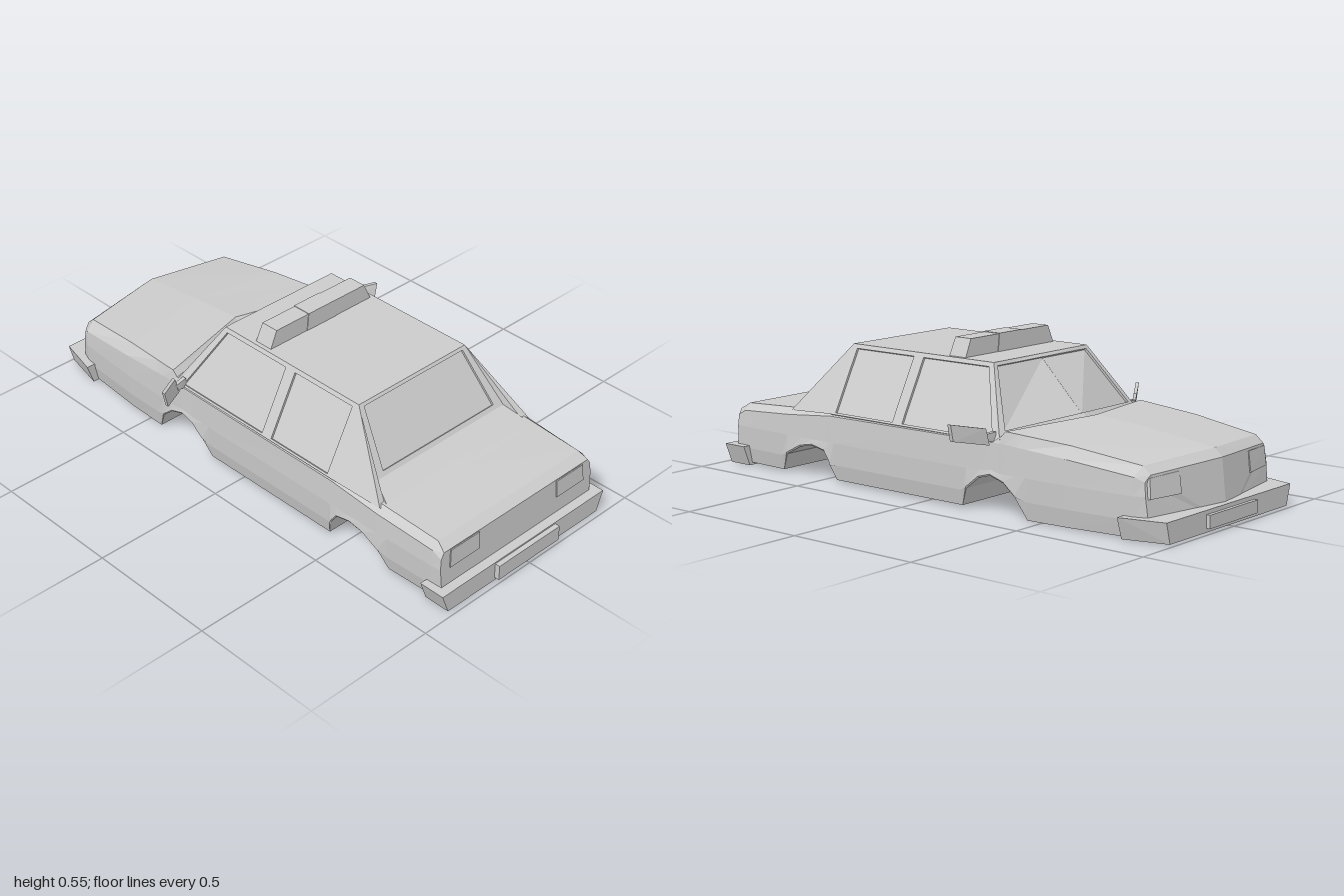
import * as THREE from 'three';
import { ConvexGeometry } from 'three/addons/geometries/ConvexGeometry.js';

const grey = new THREE.MeshStandardMaterial({ color: 0xcccccc, flatShading: true, side: THREE.DoubleSide });
const V = (p) => new THREE.Vector3(...p);

export function createModel() {
  const car = new THREE.Group();
  const add = (name, geo) => {
    const mesh = new THREE.Mesh(geo, grey);
    mesh.name = name;
    car.add(mesh);
    return mesh;
  };
  const mirror = (pts) => pts.map(([x, y, z]) => [-x, y, z]);
  // convex block from its corners; "both" also makes the mirrored twin
  const block = (name, pts) => add(name, new ConvexGeometry(pts.map(V)));
  const both = (name, pts) => {
    block('left' + name, pts);
    block('right' + name, mirror(pts));
  };

  // ---- lofted body: upper rows are [side z, centre z, side x, belt y, deck x, deck edge y, deck centre y]
  const upper = [
    [0.935, 0.935, 0.368, 0.19, 0.355, 0.212, 0.212],
    [0.9, 0.9, 0.37, 0.21, 0.345, 0.235, 0.235],
    [0.66, 0.66, 0.378, 0.225, 0.35, 0.248, 0.25],
    [0.45, 0.45, 0.38, 0.245, 0.37, 0.25, 0.25],
    [-0.3, -0.3, 0.383, 0.25, 0.37, 0.255, 0.265],
    [-0.33, -0.415, 0.383, 0.25, 0.375, 0.272, 0.275],
    [-0.35, -0.44, 0.383, 0.25, 0.375, 0.292, 0.305],
    [-0.6, -0.66, 0.38, 0.235, 0.352, 0.275, 0.287],
    [-0.86, -0.92, 0.362, 0.21, 0.325, 0.242, 0.256],
    [-0.89, -0.95, 0.345, 0.195, 0.325, 0.216, 0.228],
  ];
  // underside height along z, with the two wheel arches
  const under = [
    [0.935, 0.015], [0.705, 0.015], [0.67, 0.08], [0.6, 0.116], [0.54, 0.127], [0.48, 0.115], [0.455, 0.08],
    [0.433, 0.015], [-0.16, 0.015], [-0.19, 0.08], [-0.245, 0.124], [-0.295, 0.138], [-0.352, 0.12],
    [-0.4, 0.08], [-0.44, 0.006], [-0.89, 0.012],
  ];
  const sample = (rows, z) => {
    let i = 0;
    while (i < rows.length - 2 && rows[i + 1][0] > z) i++;
    const t = (z - rows[i][0]) / (rows[i + 1][0] - rows[i][0]);
    return rows[i].map((v, k) => v + (rows[i + 1][k] - v) * t);
  };
  const zs = [...new Set([...upper, ...under].map((r) => r[0]))].sort((a, b) => b - a);
  const N = 12;
  const pos = [], index = [];
  zs.forEach((z, i) => {
    const [, zc, xs, yBelt, xd, yd, yc] = sample(upper, z);
    const yb = sample(under, z)[1];
    const flare = yb > 0.05 ? 0.008 : 0;
    const bent = (x) => z + (zc - z) * (1 - x / 0.38);
    const half = [
      [xs - 0.012 + flare * 2, yb, z],
      [xs + flare, Math.max(0.07, yb + 0.006), z],
      [xs + 0.004, Math.max(0.15, yb + 0.02), z],
      [xs, yBelt, z],
      [xd, yd, bent(xd)],
    ];
    const loop = [[0, yb, z < -0.6 ? zc : z], ...half, [0, yc, zc], ...mirror(half).reverse()];
    const lean = i === 0 ? 0.012 : i === zs.length - 1 ? -0.025 : 0;
    for (const [x, y, pz] of loop) pos.push(x, y, pz + lean * Math.max(0, 1 - y / 0.21));
    for (let j = 0; j < N && i < zs.length - 1; j++) {
      const a = i * N + j, b = i * N + ((j + 1) % N);
      index.push(a, a + N, b + N, a, b + N, b);
    }
  });
  const last = (zs.length - 1) * N;
  for (let j = 1; j < N - 1; j++) index.push(0, j, j + 1, last, last + j + 1, last + j);
  const bodyGeo = new THREE.BufferGeometry();
  bodyGeo.setAttribute('position', new THREE.Float32BufferAttribute(pos, 3));
  bodyGeo.setIndex(index);
  const flat = bodyGeo.toNonIndexed();
  flat.computeVertexNormals();
  add('body', flat);

  // ---- cabin panels: a flat shape in u,v stretched over four corners, with recessed glass
  const toShape = (pts) => new THREE.Shape(pts.map(([u, v]) => new THREE.Vector2(u, v)));
  const stretch = (shape, corners, front, back) => {
    const [a, b, c, d] = corners.map(V);
    const n = b.clone().sub(a).cross(d.clone().sub(a)).normalize();
    const geo = new THREE.ExtrudeGeometry(shape, { depth: 1, bevelEnabled: false });
    const p = geo.attributes.position;
    for (let i = 0; i < p.count; i++) {
      const u = p.getX(i), v = p.getY(i), w = p.getZ(i);
      const low = a.clone().lerp(b, u), high = d.clone().lerp(c, u);
      low.lerp(high, v).addScaledVector(n, back + (front - back) * w);
      p.setXYZ(i, low.x, low.y, low.z);
    }
    geo.computeVertexNormals();
    return geo;
  };
  const square = [[0, 0], [1, 0], [1, 1], [0, 1]];
  const panel = (name, corners, outline, holes, panes = holes) => {
    const frame = toShape(outline);
    holes.forEach((h) => frame.holes.push(toShape(h)));
    add(name + 'Frame', stretch(frame, corners, 0, -0.014));
    panes.forEach((h) => add(name + 'Glass', stretch(toShape(h), corners, -0.008, -0.014)));
  };
  const panelPair = (name, c, outline, holes, panes = holes) => {
    const flip = (pts) => pts.map(([u, v]) => [1 - u, v]).reverse();
    panel('left' + name, c, outline, holes, panes);
    const [p, q, r, s] = mirror(c);
    panel('right' + name, [q, p, s, r], flip(outline), holes.map(flip), panes.map(flip));
  };

  // doors: openings given by z, turned into u along the tapering panel
  const at = (z, v) => [(0.45 - z) / (0.78 - 0.13 * v), v];
  panelPair('Side',
    [[0.38, 0.253, 0.45], [0.38, 0.253, -0.33], [0.255, 0.49, -0.2], [0.255, 0.49, 0.45]], square, [
      [at(0.427, 0.03), at(0.155, 0.03), at(0.155, 0.94), at(0.427, 0.94)],
      [at(0.11, 0.03), at(-0.295, 0.03), at(-0.185, 0.94), at(0.11, 0.94)],
    ]);
  // two-plane windscreen, open towards the centre line
  panelPair('Windscreen',
    [[0.38, 0.262, -0.33], [0, 0.285, -0.405], [0, 0.49, -0.2], [0.255, 0.49, -0.2]],
    [[0, 0], [1, 0], [1, 0.1], [0.07, 0.1], [0.07, 0.95], [1, 0.95], [1, 1], [0, 1]], [],
    [[[0.07, 0.1], [1, 0.1], [1, 0.95], [0.07, 0.95]]]);
  panel('rearWindow',
    [[-0.31, 0.285, 0.59], [0.31, 0.285, 0.59], [0.255, 0.49, 0.45], [-0.255, 0.49, 0.45]],
    square, [[[0.06, 0.07], [0.94, 0.07], [0.96, 0.95], [0.04, 0.95]]]);
  add('roof', stretch(toShape(square),
    [[-0.255, 0.49, 0.45], [0.255, 0.49, 0.45], [0.255, 0.49, -0.2], [-0.255, 0.49, -0.2]], 0, -0.014));
  both('RearPillar', [
    [0.255, 0.49, 0.45], [0.38, 0.253, 0.45], [0.365, 0.24, 0.66], [0.31, 0.285, 0.59], [0.34, 0.235, 0.66], [0.31, 0.24, 0.45],
  ]);
  const sill = [[0.31, 0.285, 0.59], [0.34, 0.248, 0.665], [0.31, 0.22, 0.52]];
  block('rearWindowSill', [...sill, ...mirror(sill)]);

  // ---- bumpers and plates
  const rearBumper = [
    [0.4, 0.08, 0.88], [0.4, 0.08, 0.978], [0.372, 0.006, 0.88], [0.372, 0.006, 0.978],
  ];
  block('rearBumper', [...rearBumper, ...mirror(rearBumper)]);
  const frontBumper = [
    [0.4, 0.083, -0.825], [0.36, 0.083, -0.987], [0.375, 0.008, -0.825], [0.34, 0.01, -0.987],
  ];
  block('frontBumper', [...frontBumper, ...mirror(frontBumper)]);
  const box = (name, w, h, d, x, y, z) => add(name, new THREE.BoxGeometry(w, h, d).translate(x, y, z));
  box('rearPlate', 0.3, 0.057, 0.04, 0, 0.046, 0.977);
  box('frontPlate', 0.28, 0.045, 0.04, 0, 0.046, -0.98);

  // ---- lamps
  const slab = (outline, dz) => [...outline, ...outline.map(([x, y, z]) => [x, y, z + dz])];
  both('TailLamp', slab([[0.19, 0.208, 0.939], [0.325, 0.208, 0.939], [0.33, 0.143, 0.943], [0.192, 0.143, 0.943]], -0.02));
  both('HeadLamp', [
    [0.2, 0.212, -0.922], [0.33, 0.207, -0.9], [0.352, 0.203, -0.865],
    [0.2, 0.14, -0.932], [0.335, 0.14, -0.907], [0.363, 0.14, -0.865],
    [0.2, 0.212, -0.87], [0.2, 0.14, -0.87],
  ]);

  // ---- roof sign: middle section and tapered ends
  const signPart = (x0, x1, top0, top1, e) => [
    [x0, 0.488, 0.012 + e], [x1, 0.488, 0.012 + e], [top1, 0.552 + e, 0.01 + e], [top0, 0.552 + e, 0.01 + e],
    [x0, 0.488, -0.062 - e], [x1, 0.488, -0.062 - e], [top1, 0.552 + e, -0.06 - e], [top0, 0.552 + e, -0.06 - e],
  ];
  block('roofSignMiddle', signPart(-0.07, 0.07, -0.06, 0.06, 0.002));
  both('RoofSignEnd', signPart(0.07, 0.24, 0.06, 0.21, 0));

  // ---- door mirrors on short arms
  both('Mirror', slab([[0.52, 0.322, -0.225], [0.507, 0.263, -0.225], [0.4, 0.243, -0.29], [0.418, 0.302, -0.29]], -0.014));
  both('MirrorArm', slab([[0.37, 0.285, -0.29], [0.42, 0.28, -0.283], [0.41, 0.255, -0.283], [0.37, 0.25, -0.29]], -0.015));

  return car;
}
